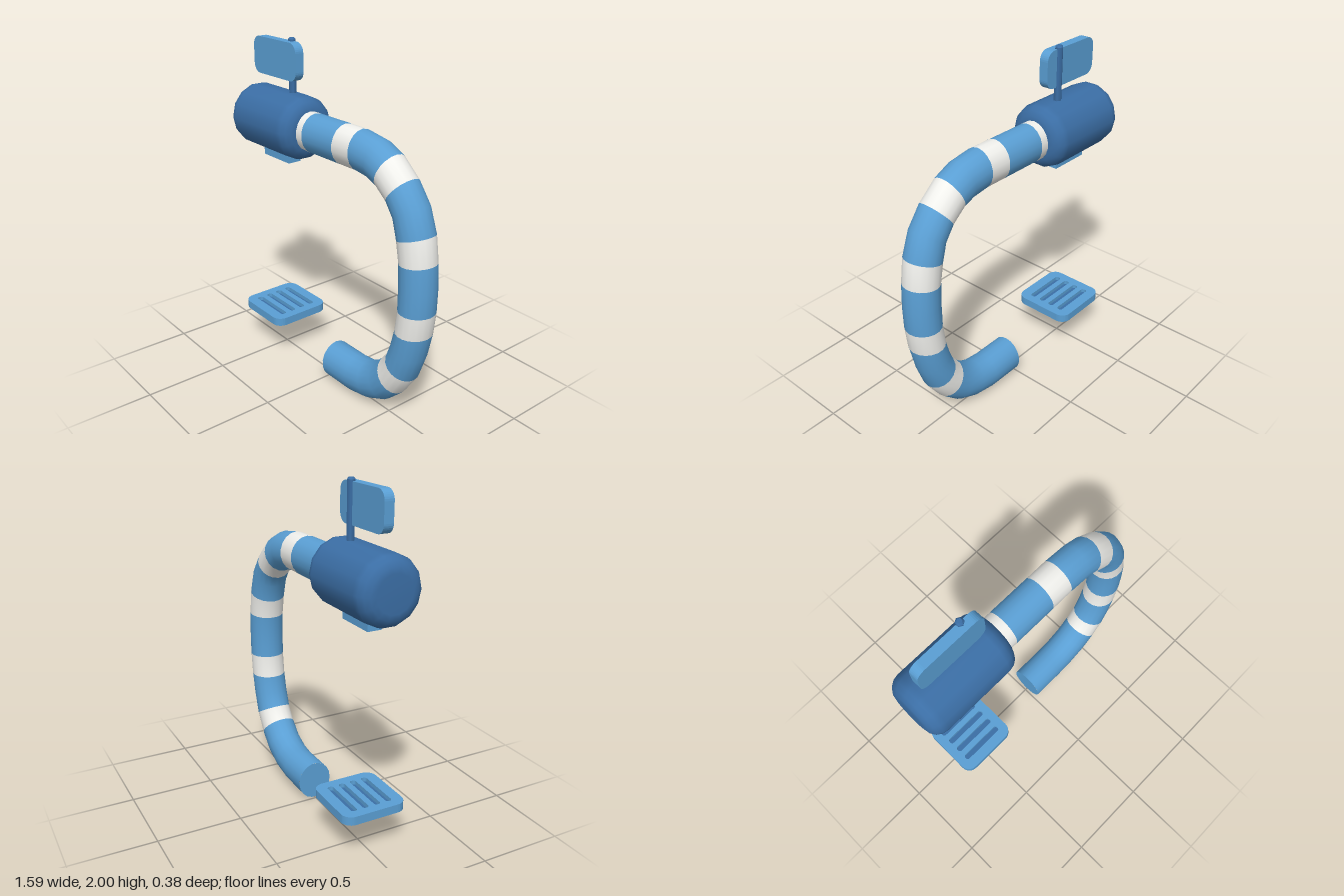
import * as THREE from 'three';

const BLUE = 0x5a9fd4, DARK = 0x3b6ea5, WHITE = 0xf0f0ec;

function part(name, geometry, color, x = 0, y = 0, z = 0) {
  const mesh = new THREE.Mesh(geometry, new THREE.MeshStandardMaterial({ color }));
  mesh.name = name;
  mesh.position.set(x, y, z);
  return mesh;
}

// Rounded rectangle outline centred on (cx, cy)
function roundedRect(w, h, r, cx = 0, cy = 0, Type = THREE.Shape) {
  const s = new Type(), a = w / 2 - r, b = h / 2 - r;
  s.absarc(cx + a, cy + b, r, 0, Math.PI / 2);
  s.absarc(cx - a, cy + b, r, Math.PI / 2, Math.PI);
  s.absarc(cx - a, cy - b, r, Math.PI, Math.PI * 1.5);
  s.absarc(cx + a, cy - b, r, Math.PI * 1.5, Math.PI * 2);
  s.closePath();
  return s;
}

const slab = (shape, depth) =>
  new THREE.ExtrudeGeometry(shape, { depth, bevelEnabled: false, curveSegments: 4 });

// Tube sections: outer x, outer y, inner x, inner y
const SECTIONS = [
  [-0.28, 1.615, -0.28, 1.385], [-0.165, 1.615, -0.165, 1.385],
  [0.1, 1.615, 0.1, 1.385], [0.235, 1.615, 0.235, 1.385],
  [0.385, 1.592, 0.335, 1.372], [0.497, 1.54, 0.405, 1.345],
  [0.613, 1.44, 0.485, 1.282], [0.705, 1.32, 0.53, 1.215],
  [0.76, 1.175, 0.556, 1.113], [0.782, 1.02, 0.578, 1.0],
  [0.79, 0.87, 0.584, 0.87], [0.787, 0.735, 0.583, 0.735],
  [0.771, 0.6, 0.567, 0.6], [0.737, 0.45, 0.54, 0.5],
  [0.685, 0.305, 0.508, 0.416], [0.6, 0.18, 0.453, 0.345],
  [0.5, 0.087, 0.385, 0.278], [0.375, 0.03, 0.305, 0.243],
  [0.225, 0.002, 0.215, 0.232], [0.015, 0.002, 0.015, 0.232],
];
// Section index where each colour band begins; white and blue alternate
const BANDS = [0, 1, 2, 3, 5, 6, 8, 9, 11, 12, 14, 15, SECTIONS.length - 1];
const SIDES = 18;

function buildTube() {
  const tube = new THREE.Group();
  tube.name = 'stripedTube';
  const pos = [];
  for (const [ox, oy, ix, iy] of SECTIONS) {
    for (let j = 0; j < SIDES; j++) {
      const t = (j / SIDES) * Math.PI * 2, c = Math.cos(t) / 2;
      pos.push((ox + ix) / 2 + (ox - ix) * c, (oy + iy) / 2 + (oy - iy) * c, 0.104 * Math.sin(t));
    }
  }
  const strip = (from, to) => {
    const index = [];
    for (let i = from; i < to; i++) {
      for (let j = 0; j < SIDES; j++) {
        const k = (j + 1) % SIDES;
        const a = i * SIDES + j, b = i * SIDES + k, c = b + SIDES, d = a + SIDES;
        index.push(a, b, d, b, c, d);
      }
    }
    return index;
  };
  // Normals come from the whole sweep, so shading stays smooth across bands
  const whole = new THREE.BufferGeometry();
  whole.setAttribute('position', new THREE.Float32BufferAttribute(pos, 3));
  whole.setIndex(strip(0, SECTIONS.length - 1));
  whole.computeVertexNormals();
  for (let b = 0; b < BANDS.length - 1; b++) {
    const g = whole.clone();
    g.setIndex(strip(BANDS[b], BANDS[b + 1]));
    const white = b % 2 === 0;
    tube.add(part(white ? 'whiteBand' : 'blueBand', g.toNonIndexed(), white ? WHITE : BLUE));
  }
  // Flat cap on the lower end
  const cap = new THREE.CircleGeometry(1, SIDES).scale(0.104, 0.115, 1).rotateY(-Math.PI / 2);
  tube.add(part('tubeEndCap', cap, BLUE, 0.015, 0.117, 0));
  return tube;
}

function buildTray() {
  const tray = new THREE.Group();
  tray.name = 'slottedTray';
  tray.position.set(-0.508, 0.245, 0);
  const flat = (g) => g.rotateX(-Math.PI / 2);
  tray.add(part('trayBase', flat(slab(roundedRect(0.385, 0.38, 0.06), 0.025)), BLUE));
  tray.add(part('slotFloor', flat(new THREE.PlaneGeometry(0.32, 0.3)), DARK, 0, 0.026, 0));
  const top = roundedRect(0.385, 0.38, 0.06);
  for (let i = 0; i < 4; i++) {
    top.holes.push(roundedRect(0.28, 0.036, 0.015, 0, (i - 1.5) * 0.072, THREE.Path));
  }
  tray.add(part('trayGrille', flat(slab(top, 0.025)), BLUE, 0, 0.025, 0));
  return tray;
}

export function createModel() {
  const model = new THREE.Group();
  model.name = 'tubeMachine';
  model.add(buildTube(), buildTray());

  // Barrel with rounded shoulders, lying along x
  const L = 0.292, R = 0.187, r = 0.085;
  const profile = [new THREE.Vector2(0, -L)];
  for (let i = 0; i <= 4; i++) {
    const t = (i / 4) * Math.PI / 2;
    profile.push(new THREE.Vector2(R - r + r * Math.sin(t), -L + r - r * Math.cos(t)));
  }
  for (let i = profile.length - 1; i >= 0; i--) {
    profile.push(new THREE.Vector2(profile[i].x, -profile[i].y));
  }
  const barrel = new THREE.LatheGeometry(profile, 14).rotateZ(-Math.PI / 2);
  model.add(part('barrel', barrel, DARK, -0.506, 1.505, 0));

  // Outlet under the barrel
  model.add(part('outlet', new THREE.BoxGeometry(0.25, 0.12, 0.085), BLUE, -0.5, 1.335, 0));

  // Sign panel on its post
  model.add(part('signPanel', slab(roundedRect(0.41, 0.215, 0.055), 0.055), BLUE, -0.505, 1.873, -0.02));
  model.add(part('signPost', new THREE.CylinderGeometry(0.023, 0.023, 0.36, 6), DARK, -0.4, 1.81, -0.016));
  model.add(part('postTip', new THREE.CylinderGeometry(0.014, 0.023, 0.01, 6), DARK, -0.4, 1.995, -0.016));
  return model;
}
